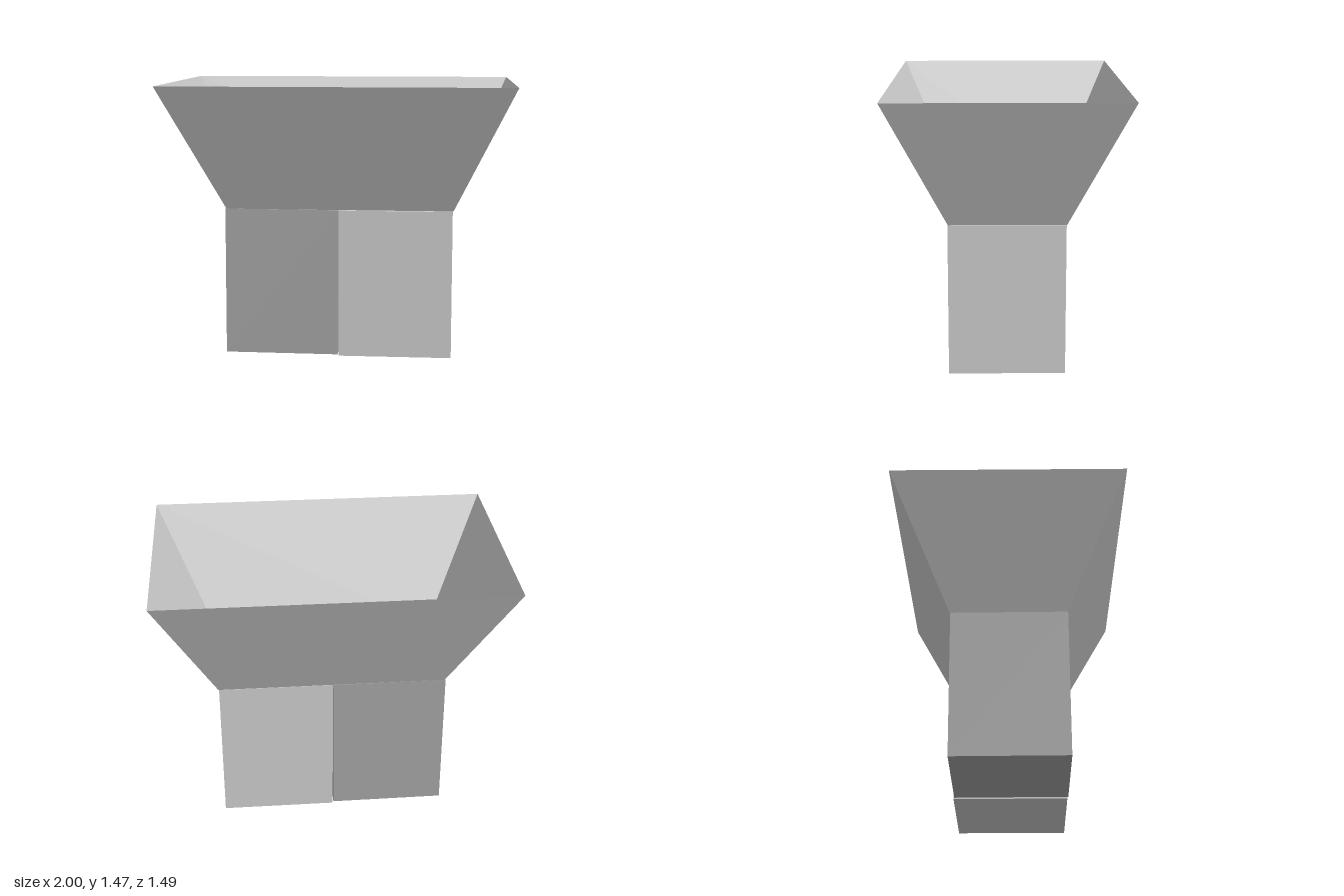
import * as THREE from 'three';

export function createModel() {
  const model = new THREE.Group();
  const body = new THREE.Group();
  body.name = 'hopperBody';
  body.rotation.y = 0.1473;
  model.add(body);

  const light = new THREE.MeshStandardMaterial({ color: 0xcccccc, flatShading: true });
  const dark = new THREE.MeshStandardMaterial({ color: 0xa5a5a5, flatShading: true });
  const sheet = new THREE.MeshStandardMaterial({ color: 0xcccccc, flatShading: true, side: THREE.DoubleSide });

  function add(name, geometry, material, x, y, z) {
    const mesh = new THREE.Mesh(geometry, material);
    mesh.name = name;
    mesh.position.set(x, y, z);
    body.add(mesh);
    return mesh;
  }

  // Two square blocks side by side, one a hair crooked
  const size = 0.609, neckY = 0.803;
  add('leftBlock', new THREE.BoxGeometry(size, 0.8, size), light, size / 2 - 0.004, 0.4, 0.002);
  const rightBlock = add('rightBlock', new THREE.BoxGeometry(size, 0.793, size), dark, -size / 2 - 0.007, 0.4045, 0.005);
  rightBlock.rotation.set(-0.005, 0, -0.004);

  // Flared hopper: a box with its top face removed and its rim widened
  const rimY = 1.473, height = rimY - neckY;
  const funnel = new THREE.BoxGeometry(2 * size, height, size);
  const pos = funnel.attributes.position;
  for (let i = 0; i < pos.count; i++) {
    if (pos.getY(i) > 0) {
      pos.setX(i, Math.sign(pos.getX(i)) * 0.92);
      pos.setZ(i, Math.sign(pos.getZ(i)) * 0.616);
    }
  }
  const index = Array.from(funnel.index.array);
  index.splice(12, 6);
  funnel.setIndex(index);
  funnel.clearGroups();
  funnel.computeVertexNormals();
  add('hopper', funnel, sheet, 0, neckY + height / 2, 0);

  return model;
}
